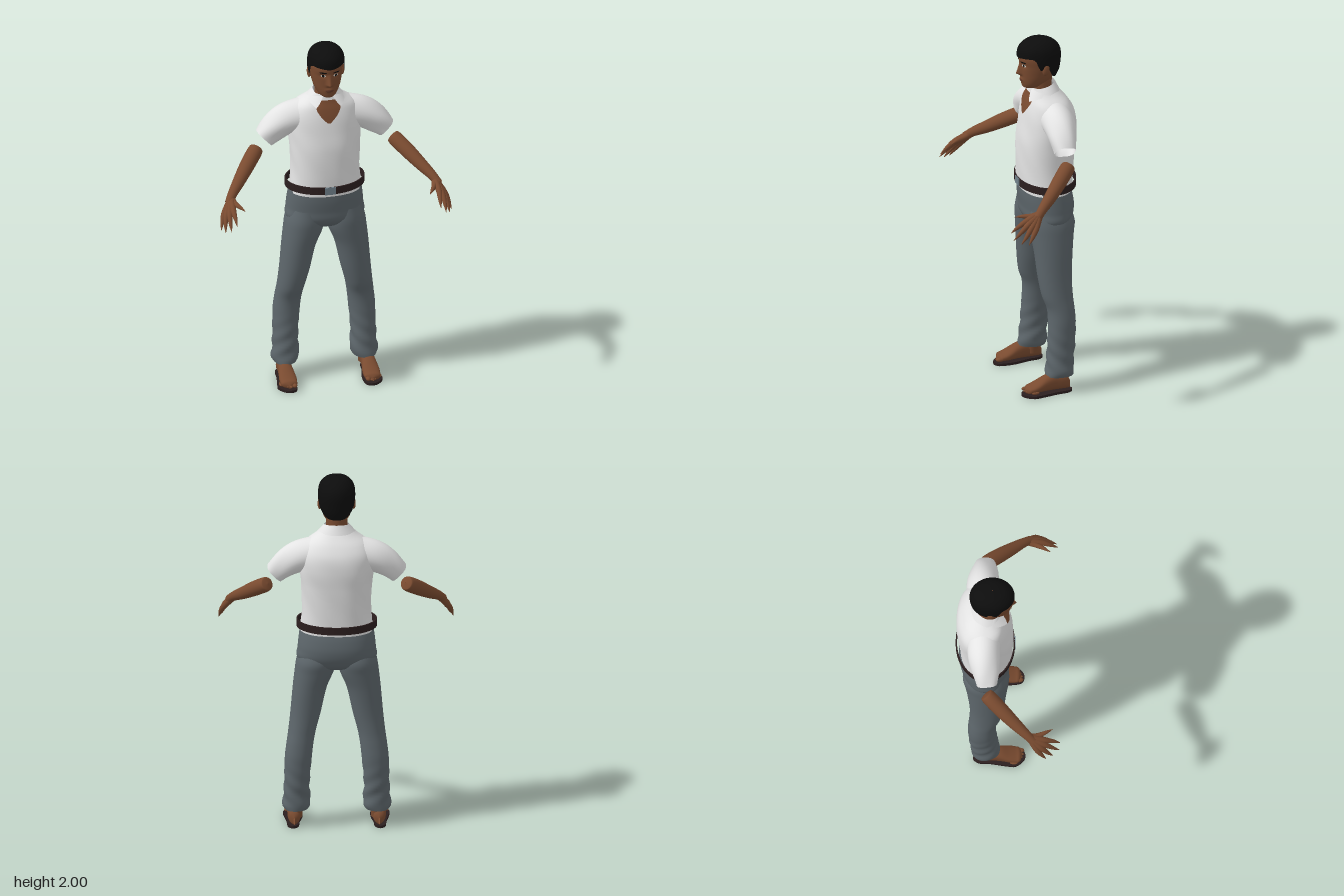
import * as THREE from 'three';

const mat = (name, color, side = THREE.DoubleSide) => {
  const m = new THREE.MeshStandardMaterial({ color, side });
  m.name = name;
  return m;
};

// Smooth surface from fn(u, v) -> [x, y, z]; closed joins u = 1 to u = 0
function grid(fn, nu, nv, closed = true) {
  const pos = [], idx = [], cols = closed ? nu : nu + 1;
  for (let j = 0; j <= nv; j++)
    for (let i = 0; i < cols; i++) pos.push(...fn(i / nu, j / nv));
  for (let j = 0; j < nv; j++)
    for (let i = 0; i < nu; i++) {
      const k = (i + 1) % cols, a = j * cols + i, b = j * cols + k;
      idx.push(a, b, b + cols, a, b + cols, a + cols);
    }
  const g = new THREE.BufferGeometry();
  g.setAttribute('position', new THREE.Float32BufferAttribute(pos, 3));
  g.setIndex(idx);
  g.computeVertexNormals();
  return g;
}

// Smooth interpolation through rows [t, value, value, ...]
function sample(rows, t) {
  let i = 0;
  while (i < rows.length - 2 && t > rows[i + 1][0]) i++;
  const A = rows[i], B = rows[i + 1], P = rows[i - 1] || A, N = rows[i + 2] || B;
  const h = B[0] - A[0], s = Math.min(1, Math.max(0, (t - A[0]) / h));
  return A.slice(1).map((a, k) => {
    const b = B[k + 1];
    const ma = (b - P[k + 1]) / (B[0] - P[0]) * h, mb = (N[k + 1] - a) / (N[0] - A[0]) * h;
    return (2 * s ** 3 - 3 * s * s + 1) * a + (s ** 3 - 2 * s * s + s) * ma
      + (3 * s * s - 2 * s ** 3) * b + (s ** 3 - s * s) * mb;
  });
}

const pw = (v, p) => Math.sign(v) * Math.abs(v) ** p;
// Point on a horizontal section [x min, x max, z back, z front]; angle 0 faces front
const section = ([x0, x1, z0, z1], y, a, p = 1) => [
  (x0 + x1) / 2 + (x1 - x0) / 2 * pw(Math.sin(a), p), y,
  (z0 + z1) / 2 + (z1 - z0) / 2 * pw(Math.cos(a), p)];
const centred = ([w, b, f]) => [-w, w, b, f];
const loft = (rows, nu, nv, fn) => {
  const y0 = rows[0][0], y1 = rows[rows.length - 1][0];
  return grid((u, v) => fn(y0 + (y1 - y0) * v, u * Math.PI * 2), nu, nv);
};

// Round limb along a curve, with a radius for each point
function limb(pts, radii, nu = 16, nv = 20, wave = () => 1) {
  const curve = new THREE.CatmullRomCurve3(pts.map(p => new THREE.Vector3(...p)));
  const f = curve.computeFrenetFrames(nv);
  const rows = radii.map((r, i) => [i / (radii.length - 1), r]);
  return grid((u, v) => {
    const j = Math.round(v * nv), a = u * Math.PI * 2, r = sample(rows, v)[0] * wave(a, v);
    return curve.getPoint(v).addScaledVector(f.normals[j], r * Math.cos(a))
      .addScaledVector(f.binormals[j], r * Math.sin(a)).toArray();
  }, nu, nv);
}

function mirrored(geo) {
  const g = geo.clone().scale(-1, 1, 1);
  const id = g.index ? Array.from(g.index.array) : [...Array(g.attributes.position.count).keys()];
  for (let i = 0; i < id.length; i += 3) [id[i], id[i + 1]] = [id[i + 1], id[i]];
  g.setIndex(id);
  g.computeVertexNormals();
  return g;
}

// Section tables: height, half width, back z, front z
const SHIRT = [[1.13, .197, -.254, .026], [1.25, .187, -.262, .03], [1.4, .192, -.272, .028], [1.5, .2, -.278, .014],
  [1.58, .195, -.268, .002], [1.64, .165, -.235, -.012], [1.68, .11, -.2, -.026], [1.72, .07, -.165, -.035]];
const HEAD = [[1.712, .004, -.06, -.03], [1.718, .032, -.09, .002], [1.735, .052, -.12, .013], [1.77, .071, -.155, .017],
  [1.81, .082, -.178, .02], [1.85, .088, -.185, .023], [1.9, .09, -.188, .029], [1.95, .076, -.17, .01], [1.98, .03, -.12, -.05]];
const HAIR = [[1.77, .068, -.178, .02], [1.81, .088, -.195, .028], [1.85, .098, -.202, .034], [1.91, .1, -.205, .038],
  [1.95, .092, -.192, .028], [1.98, .068, -.16, -.005], [1.993, .042, -.125, -.04], [2, .003, -.085, -.08]];
const HAIRLINE = [[0, 1.9], [.8, 1.908], [1.15, 1.9], [1.35, 1.845], [1.5, 1.845], [1.62, 1.875], [1.85, 1.83], [2.2, 1.785], [3.15, 1.775]];
const PELVIS = [[.905, .02, -.14, -.08], [.925, .15, -.21, -.03], [.97, .212, -.247, .009], [1.03, .211, -.262, .016],
  [1.09, .205, -.256, .022], [1.15, .196, -.238, .022]];
// Height, inner x, outer x, back z, front z
const LEG = [[.1, .155, .283, -.198, -.045], [.12, .143, .293, -.202, -.046], [.17, .143, .287, -.2, -.052], [.25, .146, .283, -.208, -.058],
  [.4, .134, .28, -.216, -.066], [.48, .125, .271, -.212, -.062], [.55, .112, .261, -.207, -.038], [.65, .086, .25, -.207, -.022],
  [.8, .052, .237, -.22, -.008], [.9, .012, .226, -.235, .004], [.96, .004, .217, -.243, .008], [1.03, .01, .195, -.22, 0]];

const shirtPoint = (y, a) => {
  const p = section(centred(sample(SHIRT, y)), y, a, .88);
  const fold = 1 + .012 * Math.sin(5 * a + 14 * y) * Math.sin(18 * y + 2 * a) * Math.min(1, (1.72 - y) * 8);
  return [p[0] * fold, y, (p[2] + .12) * fold - .12];
};

const bell = (d, w) => Math.exp(-((d / w) ** 2));
const headPoint = (y, a) => {
  const p = section(centred(sample(HEAD, y)), y, a);
  if (Math.cos(a) > 0) {
    const x = p[0], nose = Math.max(0, Math.min((y - 1.788) / .016, (1.868 - y) / .062));
    p[2] += .028 * nose * bell(x, .014) + .007 * bell(x, .025) * bell(y - 1.767, .012)
      - .007 * bell(Math.abs(x) - .034, .018) * bell(y - 1.858, .014);
  }
  return p;
};
// Thin painted oval that follows the face
const facePatch = (y, a, ry, ra, lift) => grid((u, v) => {
  const t = u * Math.PI * 2, r = 1 - v;
  const p = headPoint(y + ry * r * Math.sin(t), a + ra * r * Math.cos(t));
  return [p[0] * (1 + lift * 2), p[1], p[2] + lift];
}, 20, 4);

export function createModel() {
  const root = new THREE.Group();
  root.name = 'standingMan';
  const skin = mat('brownSkin', 0x7a4b30), cloth = mat('whiteCloth', 0xe4e4e4), grey = mat('greyTrouserCloth', 0x5d666b);
  const black = mat('blackHair', 0x0d0d0d), leather = mat('darkLeather', 0x2c1f1f), metal = mat('buckleMetal', 0x70808a);
  const white = mat('eyeWhite', 0xd8d4cc), lip = mat('lipBrown', 0x643a29);
  const add = (name, geo, m, parent = root) => {
    const mesh = new THREE.Mesh(geo, m);
    mesh.name = name;
    parent.add(mesh);
    return mesh;
  };
  const pair = (name, geo, m) => {
    add('left' + name, geo, m);
    add('right' + name, mirrored(geo), m);
  };

  // Head and face
  add('head', loft(HEAD, 96, 60, headPoint), skin);
  add('neck', loft([[1.58, .07, -.17, -.035], [1.68, .06, -.155, -.035], [1.77, .058, -.155, -.035]], 32, 10,
    (y, a) => section(centred(sample([[1.58, .07, -.17, -.035], [1.68, .06, -.155, -.035], [1.77, .058, -.155, -.035]], y)), y, a)), skin);
  pair('Ear', new THREE.SphereGeometry(1, 16, 12).scale(.011, .034, .02).rotateX(-.15).translate(.092, 1.842, -.092), skin);
  pair('Eye', facePatch(1.858, .4, .008, .16, .003), white);
  pair('Iris', facePatch(1.858, .4, .008, .075, .005), black);
  pair('Eyebrow', facePatch(1.878, .42, .0045, .23, .003), black);
  add('mouth', facePatch(1.767, 0, .008, .34, .002), lip);

  // Hair cap with a hairline that dips in front of and behind the ears
  add('hair', grid((u, v) => {
    const a = u * Math.PI * 2, low = sample(HAIRLINE, Math.min(a, Math.PI * 2 - a))[0];
    const y = low + (2 - low) * Math.sin(v * Math.PI / 2);
    return section(centred(sample(HAIR, y)), y, a);
  }, 64, 28), black);

  // Shirt body, open neckline and collar
  add('shirtBody', loft(SHIRT, 64, 48, shirtPoint), cloth);
  add('openNeckline', grid((u, v) => {
    const p = shirtPoint(1.565 + .125 * v, (u * 2 - 1) * (.02 + v * .55));
    return [p[0], p[1], p[2] + .006];
  }, 16, 16, false), skin);
  add('collar', grid((u, v) => {
    const gap = .38 + .34 * v, a = gap + u * 2 * (Math.PI - gap), front = (1 + Math.cos(a)) / 2;
    const top = 1.742 - .03 * front, low = 1.692 - .052 * front ** 3;
    return [Math.sin(a) * (.068 + .034 * v), top + (low - top) * v,
      -.1 + Math.cos(a) * (.07 + (Math.cos(a) > 0 ? .06 : .025) * v)];
  }, 48, 6, false), cloth);

  // Short sleeves, open at the cuff
  pair('Sleeve', limb([[.1, 1.575, -.13], [.21, 1.55, -.13], [.28, 1.505, -.122], [.335, 1.453, -.115]],
    [.092, .086, .075, .059], 32, 20, (a, v) => 1 + .05 * v * Math.sin(4 * a + 5 * v)), cloth);

  // Forearms and hands
  pair('Forearm', limb([[.372, 1.392, -.123], [.376, 1.388, -.118], [.43, 1.342, -.055], [.5, 1.28, .03], [.555, 1.232, .1], [.575, 1.205, .13]],
    [.001, .037, .041, .034, .025, .024], 24, 40), skin);
  const fingers = [
    ['IndexFinger', [.566, 1.188, .195], [.562, 1.155, .245], [.56, 1.13, .277]],
    ['MiddleFinger', [.585, 1.172, .192], [.59, 1.128, .24], [.59, 1.098, .272]],
    ['RingFinger', [.601, 1.156, .177], [.612, 1.11, .212], [.616, 1.08, .238]],
    ['LittleFinger', [.611, 1.146, .155], [.625, 1.108, .18], [.633, 1.078, .2]]];
  for (const [name, ...pts] of fingers)
    pair(name, limb([[.56, 1.222, .11], ...pts], [.02, .016, .0095, .001], 12, 20), skin);
  pair('Thumb', limb([[.56, 1.22, .11], [.548, 1.208, .155], [.528, 1.205, .2], [.508, 1.198, .237]], [.018, .015, .01, .001], 12, 20), skin);

  // Trousers
  add('trouserSeat', loft(PELVIS, 64, 28, (y, a) => section(centred(sample(PELVIS, y)), y, a, .92)), grey);
  pair('TrouserLeg', loft(LEG, 40, 64, (y, a) => {
    const p = section(sample(LEG, y), y, a, .95);
    const crease = .004 * Math.sin(70 * y + 3 * a) * Math.max(0, 1 - Math.abs(y - .2) / .2);
    return [p[0] + crease * Math.sin(a), y, p[2] + crease * Math.cos(a)];
  }), grey);

  // Belt standing slightly clear of the waist
  const ring = new THREE.Shape().absellipse(0, 0, .217, .16, 0, Math.PI * 2);
  ring.holes.push(new THREE.Path().absellipse(0, 0, .21, .153, 0, Math.PI * 2));
  add('belt', new THREE.ExtrudeGeometry(ring, { depth: .042, bevelEnabled: false, curveSegments: 40 })
    .rotateX(-Math.PI / 2).translate(0, 1.15, -.12), leather);
  add('buckle', new THREE.BoxGeometry(.06, .042, .008).translate(0, 1.171, .039), metal);

  // Feet: ankle, foot, toes and flat sole
  pair('Ankle', limb([[.222, .05, -.125], [.218, .1, -.125], [.214, .2, -.128]], [.036, .037, .042], 20, 10), skin);
  const FOOT = [[-.18, .004, .04], [-.17, .024, .06], [-.14, .035, .085], [-.09, .037, .1], [-.04, .041, .088],
    [.01, .047, .06], [.045, .045, .043], [.065, .038, .036], [.075, .004, .02]];
  pair('Foot', grid((u, v) => {
    const z = -.18 + .255 * v, [w, h] = sample(FOOT, z), a = u * Math.PI * 2;
    return [.229 + w * Math.cos(a), .018 + h / 2 + h / 2 * pw(Math.sin(a), .8), z];
  }, 32, 32), skin);
  for (let i = 0; i < 5; i++) {
    const r = i ? .0095 : .014;
    pair('Toe' + (i + 1), new THREE.SphereGeometry(1, 12, 8).scale(r, r * .85, .022)
      .translate(.202 + i * .0165 + (i ? .004 : 0), .018 + r, .066 - .0022 * i * i), skin);
  }
  const outline = [[.184, .04], [.194, .08], [.22, .093], [.25, .086], [.286, .04], [.284, 0], [.268, -.1],
    [.262, -.165], [.235, -.19], [.207, -.165], [.2, -.1], [.184, -.02]];
  const sole = new THREE.Shape(new THREE.CatmullRomCurve3(outline.map(([x, z]) => new THREE.Vector3(x, -z, 0)), true)
    .getPoints(48).slice(0, -1).map(p => new THREE.Vector2(p.x, p.y)));
  pair('Sole', new THREE.ExtrudeGeometry(sole, { depth: .014, bevelEnabled: false }).rotateX(-Math.PI / 2), leather);
  return root;
}
